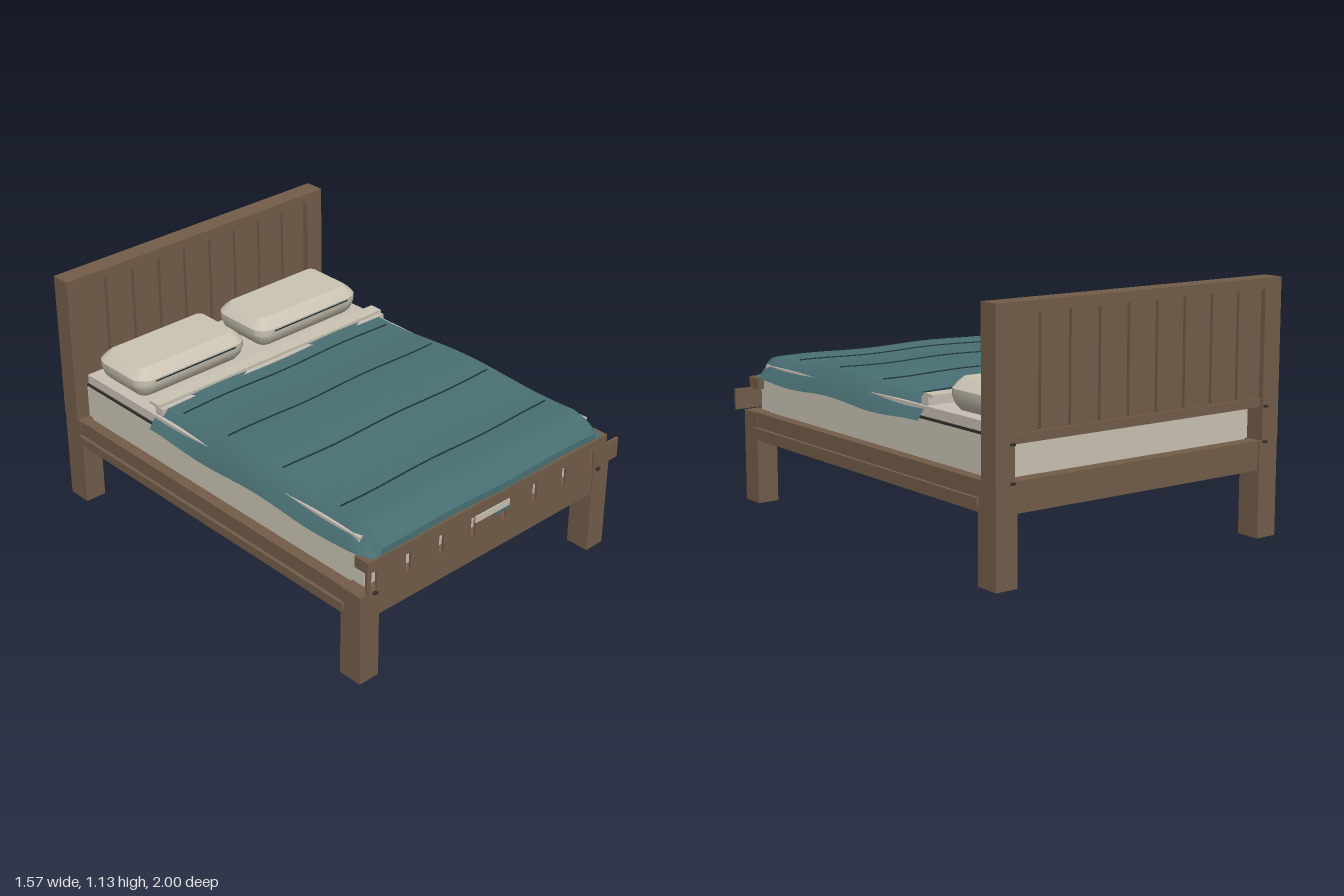
import * as THREE from 'three';
import { toCreasedNormals } from 'three/addons/utils/BufferGeometryUtils.js';

const CX = -0.02; // centre line of the bed

function material(name, color, extra = {}) {
  const m = new THREE.MeshStandardMaterial({ color, ...extra });
  m.name = name;
  return m;
}

// Height of the quilt top along its length
const quiltTop = (x, z) =>
  0.688 + 0.011 * Math.cos((z - 0.2) * 6.6) + 0.004 * Math.sin(x * 9 + z * 4);

// Lofted stack of rounded rectangles: layers are [y, inset]
function pillowGeometry(w, d, r, layers) {
  const seg = 5, pos = [], idx = [];
  const n = 4 * (seg + 1);
  for (const [y, inset] of layers) {
    const hx = w / 2 - r, hz = d / 2 - r, rr = r - inset;
    for (let q = 0; q < 4; q++) {
      const sx = q === 0 || q === 3 ? 1 : -1, sz = q < 2 ? 1 : -1;
      for (let s = 0; s <= seg; s++) {
        const a = (q + s / seg) * Math.PI / 2;
        pos.push(sx * hx + rr * Math.cos(a), y, sz * hz + rr * Math.sin(a));
      }
    }
  }
  const last = (layers.length - 1) * n;
  for (let j = 0; j < n; j++) {
    const k = (j + 1) % n;
    for (let i = 0; i < last; i += n) {
      idx.push(i + j, i + n + j, i + k, i + k, i + n + j, i + n + k);
    }
  }
  const bottom = pos.length / 3;
  pos.push(0, layers[0][0], 0, 0, layers[layers.length - 1][0], 0);
  for (let j = 0; j < n; j++) {
    const k = (j + 1) % n;
    idx.push(bottom, j, k, bottom + 1, last + k, last + j);
  }
  const g = new THREE.BufferGeometry();
  g.setAttribute('position', new THREE.Float32BufferAttribute(pos, 3));
  g.setIndex(idx);
  return toCreasedNormals(g, 0.45);
}

// Draped sheet made of cross-sections along z
function quiltGeometry() {
  const rows = [];
  for (let i = 0; i <= 28; i++) rows.push([-0.4 + i * 1.26 / 28, 0, 0]);
  rows.push([0.92, 0.018, 0.005], [0.965, 0.05, 0.02], [0.983, 0.075, 0.03], [0.985, 0.105, 0.035]);
  const xs = [];
  for (let i = 0; i <= 24; i++) xs.push(-0.66 + i * 1.28 / 24);
  const cols = xs.length + 4, pos = [], idx = [];
  for (const [z, drop, pull] of rows) {
    const hem = 0.578 + 0.008 * Math.cos((z - 0.3) * 9);
    const edge = (side) => {
      const top = quiltTop(CX + side * 0.64, z) - drop;
      return [
        [CX + side * (0.717 - pull), hem],
        [CX + side * (0.685 - pull), Math.max(hem + 0.002, top - 0.045)],
      ];
    };
    const ring = [...edge(-1), ...xs.map((x) => [x, quiltTop(x, z) - drop]), ...edge(1).reverse()];
    for (const [x, y] of ring) pos.push(x, y, z);
  }
  for (let i = 0; i < rows.length - 1; i++) {
    for (let j = 0; j < cols - 1; j++) {
      const a = i * cols + j, b = a + cols;
      idx.push(a, b, a + 1, a + 1, b, b + 1);
    }
  }
  const g = new THREE.BufferGeometry();
  g.setAttribute('position', new THREE.Float32BufferAttribute(pos, 3));
  g.setIndex(idx);
  return toCreasedNormals(g, 0.4);
}

export function createModel() {
  const bed = new THREE.Group();
  bed.name = 'bed';
  const wood = material('wood', 0x735d49);
  const linen = material('linen', 0xcbc4b4);
  const sheetCloth = material('sheet', 0xc9c0b6);
  const teal = material('quilt teal', 0x496f73, { side: THREE.DoubleSide });
  const dark = material('dark stitching', 0x1f3538);
  const metal = material('metal', 0x33302e);

  const add = (name, geometry, mat, parent = bed) => {
    const m = new THREE.Mesh(geometry, mat);
    m.name = name;
    parent.add(m);
    return m;
  };
  // Box given by its limits on each axis
  const box = (name, x0, x1, y0, y1, z0, z1, mat = wood) => {
    const m = add(name, new THREE.BoxGeometry(x1 - x0, y1 - y0, z1 - z0), mat);
    m.position.set((x0 + x1) / 2, (y0 + y1) / 2, (z0 + z1) / 2);
    return m;
  };
  // Box mirrored about the centre line, given by distances from it
  const pair = (name, d0, d1, y0, y1, z0, z1, mat = wood) => {
    box(name + 'Left', CX + d0, CX + d1, y0, y1, z0, z1, mat);
    box(name + 'Right', CX - d1, CX - d0, y0, y1, z0, z1, mat);
  };

  // Legs and posts
  pair('frontLeg', 0.652, 0.756, 0, 0.43, 0.868, 0.983);
  pair('backLeg', 0.652, 0.756, 0, 0.43, -0.99, -0.872);
  pair('headboardPost', 0.665, 0.758, 0.43, 1.085, -0.99, -0.895);

  // Frame rails
  pair('sideRail', 0.7, 0.752, 0.3, 0.43, -0.88, 0.88);
  pair('sideTrim', 0.75, 0.768, 0.328, 0.36, -0.88, 0.89);
  box('frontRail', -0.675, 0.635, 0.3, 0.43, 0.92, 0.978);
  box('backRail', -0.675, 0.635, 0.3, 0.43, -0.982, -0.92);

  // Headboard
  box('headboardTopRail', -0.778, 0.738, 1.085, 1.132, -0.99, -0.895);
  box('headboardLowerRail', -0.685, 0.645, 0.575, 0.615, -0.975, -0.91);
  for (let i = 0; i < 9; i++) {
    const x0 = i === 0 ? -0.686 : -0.5425 + (i - 1) * 0.1508;
    const x1 = i === 8 ? 0.646 : -0.5575 + i * 0.1508;
    box('headboardSlat', x0, x1, 0.61, 1.087, -0.965, -0.925);
  }

  // Footboard
  box('footboardTopRail', -0.742, 0.702, 0.53, 0.583, 0.912, 0.99);
  box('footboardEdgeSlat', -0.742, -0.72, 0.43, 0.532, 0.974, 0.986);
  for (let i = 0; i < 7; i++) {
    const x = -0.688 + i * 0.1885;
    box('footboardSlat', x, x + (i === 6 ? 0.34 : 0.16) - (i === 6 ? 0.18 : 0), 0.433, 0.532, 0.974, 0.987);
  }
  box('footboardEndSlat', 0.625, 0.785, 0.435, 0.532, 0.976, 0.988);

  // Bolts at the corners
  for (const x of [-0.7, 0.657]) {
    box('frontBolt', x - 0.009, x + 0.009, 0.42, 0.43, 0.98, 0.997, metal);
    for (const y of [0.42, 0.575]) {
      box('backBolt', x - 0.009, x + 0.009, y, y + 0.01, -1, -0.985, metal);
    }
  }

  // Mattress support
  for (let i = 0; i < 17; i++) {
    const z = -0.82 + i * 0.1025;
    box('supportSlat', -0.725, 0.685, 0.375, 0.4, z - 0.027, z + 0.027);
  }
  box('centreBeam', CX - 0.035, CX + 0.035, 0.32, 0.375, -0.92, 0.92);

  // Mattress and sheet
  box('mattress', -0.71, 0.67, 0.4, 0.595, -0.9, 0.935, linen);
  box('mattressPiping', -0.714, 0.674, 0.592, 0.602, -0.89, 0.92, metal);
  box('mattressTop', -0.705, 0.665, 0.602, 0.645, -0.89, 0.9, sheetCloth);
  box('foldedSheet', -0.695, 0.652, 0.68, 0.695, -0.445, -0.38, linen);
  box('foldedSheetUnder', -0.69, 0.65, 0.645, 0.68, -0.41, -0.36, sheetCloth);

  // Quilt with stitched lines
  add('quilt', quiltGeometry(), teal);
  for (const z of [-0.28, 0.02, 0.37, 0.72]) {
    const pts = [];
    for (let i = 0; i <= 24; i++) {
      const x = -0.64 + i * 1.23 / 24;
      pts.push(new THREE.Vector3(x, quiltTop(x, z) + 0.001, z));
    }
    add('quiltStitch', new THREE.TubeGeometry(new THREE.CatmullRomCurve3(pts), 48, 0.004, 6), dark);
  }

  // Cloth corner showing at the footboard
  box('clothFold', -0.128, 0.076, 0.497, 0.528, 0.984, 0.993, linen);
  box('clothFoldEdge', -0.01, 0.078, 0.481, 0.497, 0.984, 0.992, teal);

  // Pillows
  const shape = [[0.648, 0.035], [0.672, 0.014], [0.708, 0], [0.738, 0], [0.765, 0.025], [0.784, 0.048]];
  for (const x of [-0.372, 0.328]) {
    const pillow = new THREE.Group();
    pillow.name = 'pillow';
    pillow.position.set(x, 0, -0.687);
    bed.add(pillow);
    add('pillowBody', pillowGeometry(0.626, 0.345, 0.075, shape), linen, pillow);
    const seam = add('pillowSeam', new THREE.BoxGeometry(0.46, 0.006, 0.006), dark, pillow);
    seam.position.set(0, 0.728, 0.172);
  }
  return bed;
}
